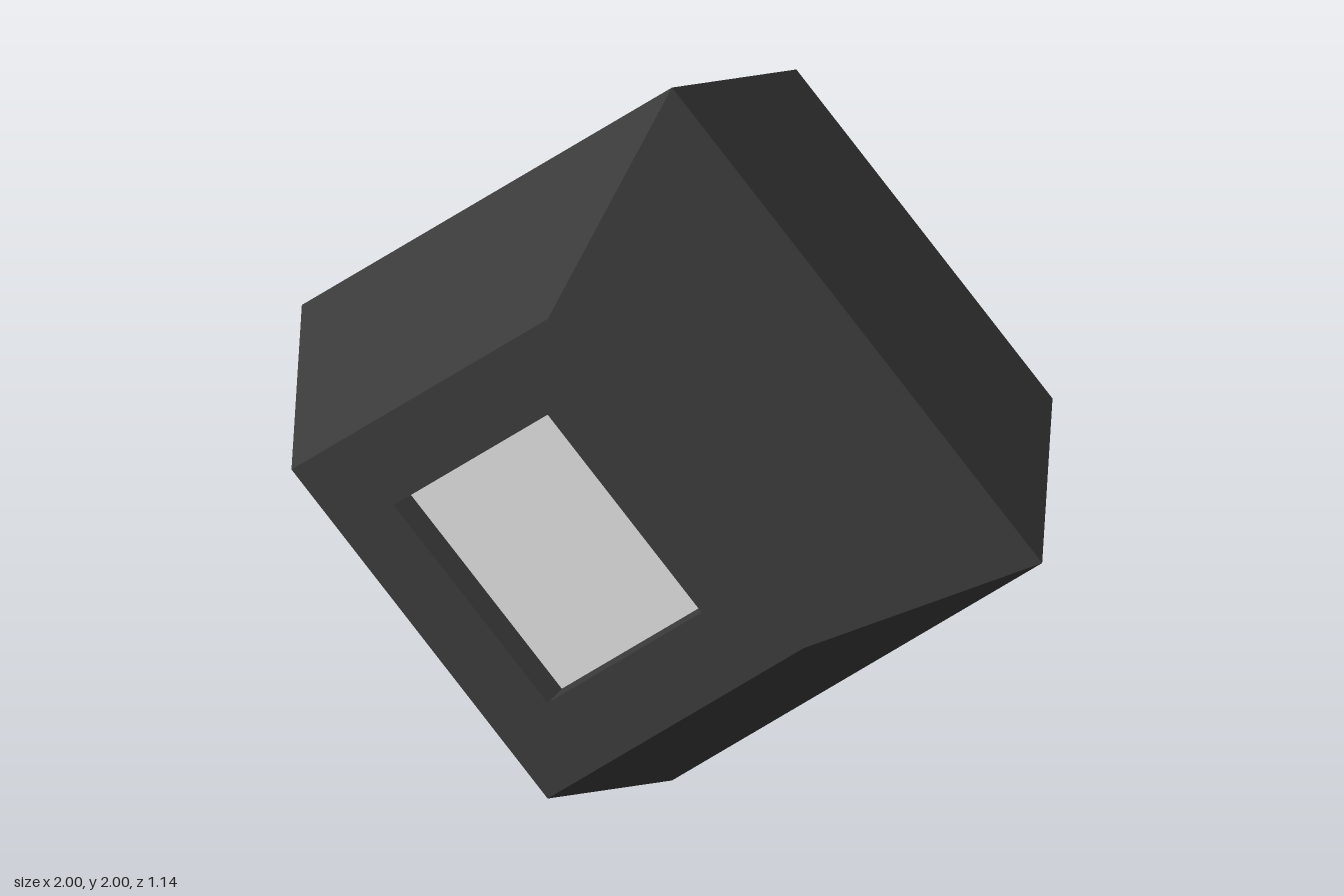
import * as THREE from 'three';

export function createModel() {
  const model = new THREE.Group();
  const darkCasing = new THREE.MeshStandardMaterial({ color: 0x3b3b3b });
  const paleGlass = new THREE.MeshStandardMaterial({ color: 0xe0e0e0 });

  const rim = 0.692, halfDepth = 0.57, opening = 0.416, panelZ = 0.505;

  // Four-sided casing: recess wall, face frame, bevels to the middle ridge, mirrored behind
  const half = [[opening, panelZ], [opening, halfDepth], [rim, halfDepth]];
  const profile = [
    ...half.map(([r, z]) => new THREE.Vector2(r, -z)),
    new THREE.Vector2(1, 0),
    ...half.map(([r, z]) => new THREE.Vector2(r, z)).reverse(),
  ];
  const casingGeometry = new THREE.LatheGeometry(profile, 4).rotateX(Math.PI / 2).toNonIndexed();
  casingGeometry.computeVertexNormals(); // flat facets
  const casing = new THREE.Mesh(casingGeometry, darkCasing);
  casing.name = 'casing';
  casing.position.y = 1;
  model.add(casing);

  // Recessed pale panels, front and back
  for (const side of [1, -1]) {
    const panel = new THREE.Mesh(new THREE.CircleGeometry(opening, 4), paleGlass);
    panel.name = side > 0 ? 'frontPanel' : 'backPanel';
    panel.position.set(0, 1, side * panelZ);
    if (side < 0) panel.rotation.y = Math.PI;
    model.add(panel);
  }
  return model;
}
